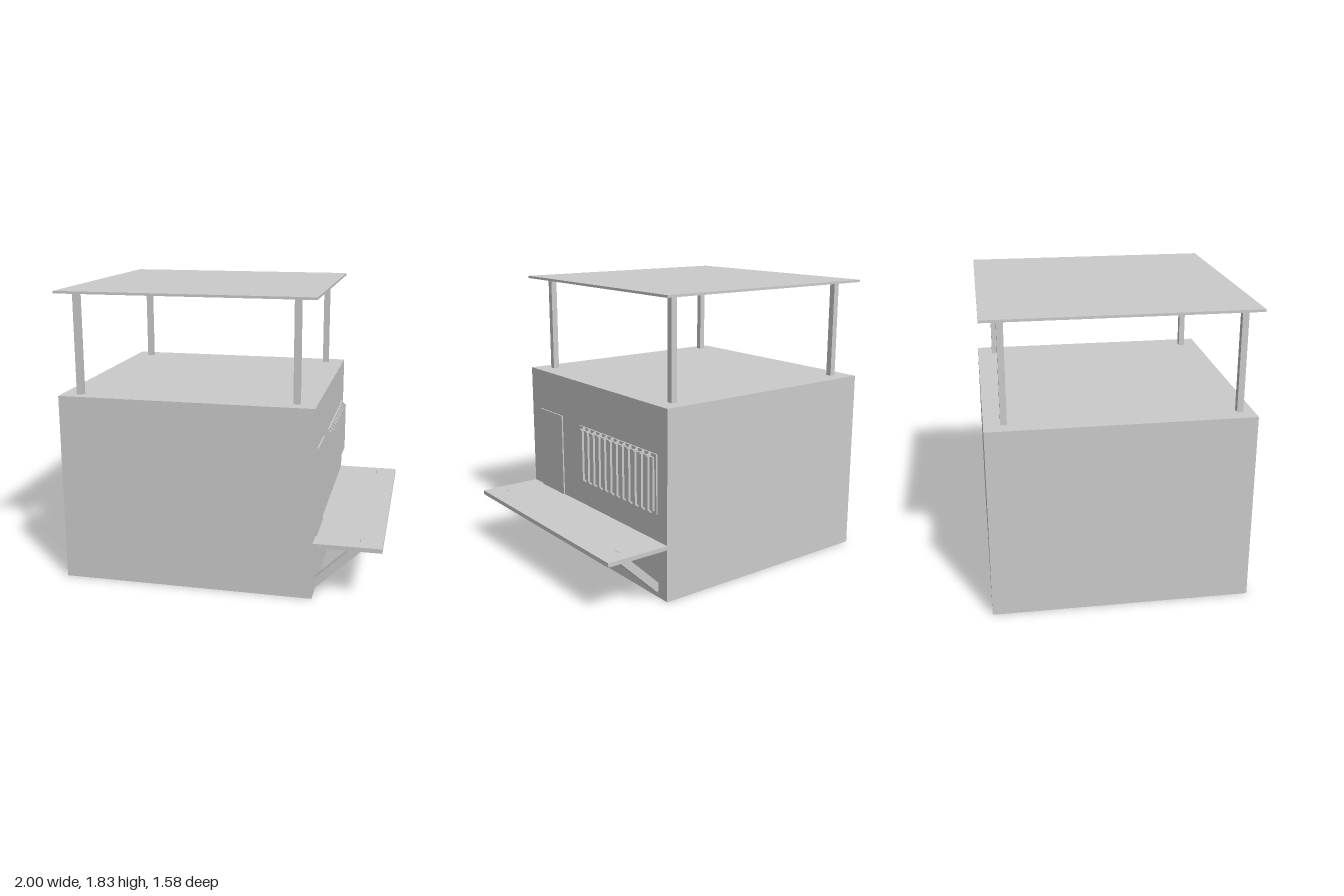
import * as THREE from 'three';

const material = new THREE.MeshStandardMaterial({ color: 0xcccccc, flatShading: true });

export function createModel() {
  const model = new THREE.Group();
  model.name = 'kiosk';

  const add = (name, geometry) => {
    const mesh = new THREE.Mesh(geometry, material);
    mesh.name = name;
    model.add(mesh);
    return mesh;
  };
  // Box given by its limits on each axis
  const box = (name, [x0, x1], [y0, y1], [z0, z1]) => {
    const mesh = add(name, new THREE.BoxGeometry(x1 - x0, y1 - y0, z1 - z0));
    mesh.position.set((x0 + x1) / 2, (y0 + y1) / 2, (z0 + z1) / 2);
    return mesh;
  };

  const wall = 0.585;
  box('body', [-1, wall], [0, 1.19], [-0.79, 0.79]);
  box('roof', [-1, wall], [1.815, 1.83], [-0.79, 0.79]);

  // Roof posts, one of them set slightly further out
  for (const [x, z] of [[-0.885, 0.707], [0.462, 0.678], [-0.885, -0.674], [0.462, -0.674]]) {
    box('roofPost', [x - 0.02, x + 0.02], [1.19, 1.815], [z - 0.019, z + 0.019]);
  }

  box('door', [wall - 0.01, 0.594], [0.35, 0.917], [0.38, 0.665]);

  // Window: back plate, raised pane and vertical bars with bevelled ends
  box('windowFrame', [wall - 0.01, 0.594], [0.527, 0.9], [-0.695, 0.157]);
  box('windowPane', [wall, 0.606], [0.547, 0.88], [-0.676, 0.138]);
  const barProfile = new THREE.Shape([
    [0.588, 0.527], [0.6, 0.527], [0.621, 0.546], [0.621, 0.88], [0.6, 0.9], [0.588, 0.9],
  ].map(([x, y]) => new THREE.Vector2(x, y)));
  const barGeometry = new THREE.ExtrudeGeometry(barProfile, { depth: 0.015, bevelEnabled: false });
  for (let i = 0; i < 12; i++) {
    add('windowBar', barGeometry).position.z = 0.08 - i * 0.0659;
  }

  // Side counter on two slanted braces whose tips reach through the top
  box('counter', [wall, 1], [0.333, 0.36], [-0.79, 0.79]);
  for (const side of [1, -1]) {
    const brace = add('counterBrace', new THREE.BoxGeometry(0.424, 0.05, 0.047));
    brace.position.set(0.73, 0.2, side * 0.68);
    brace.rotation.z = THREE.MathUtils.degToRad(43.9);
  }
  return model;
}
